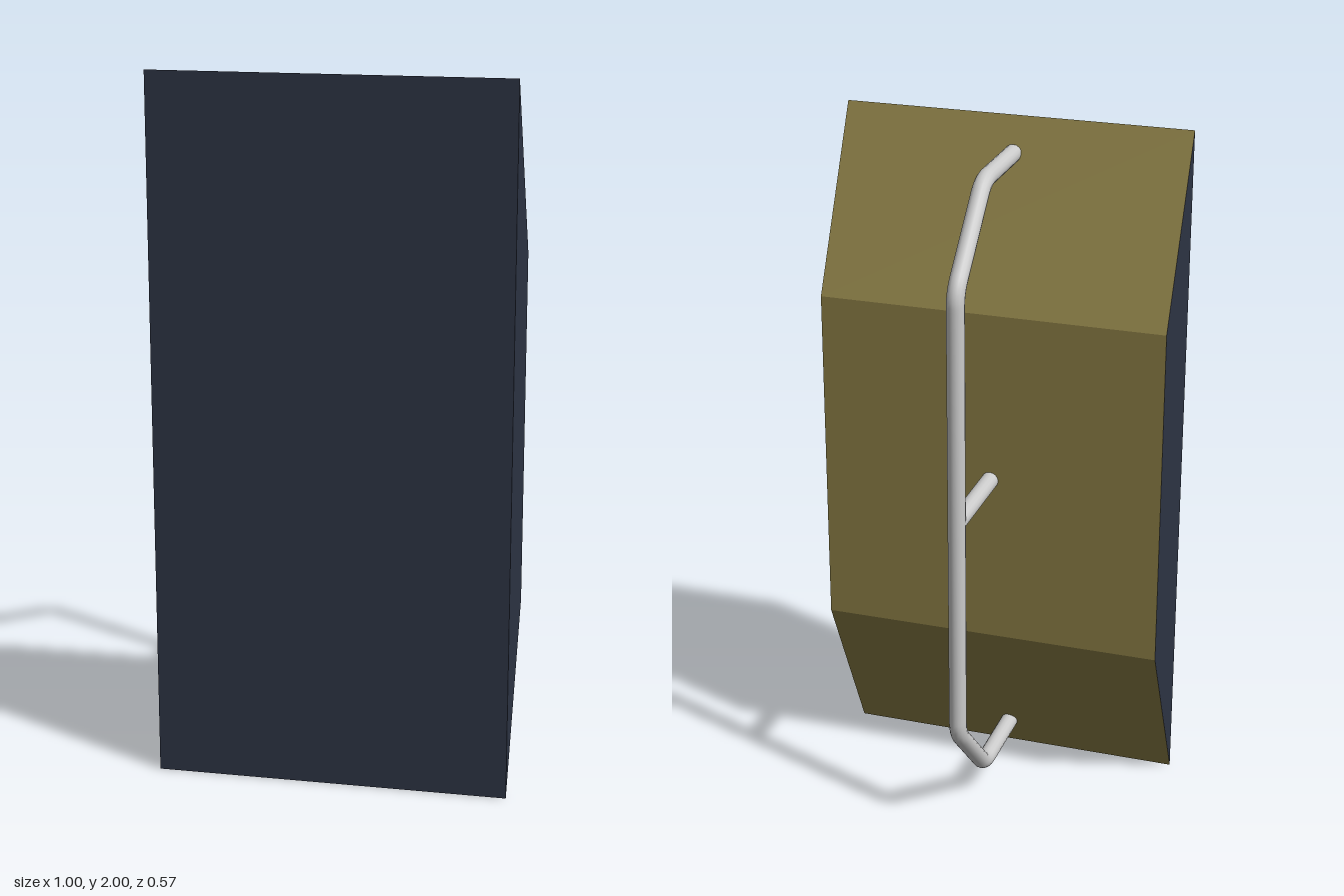
import * as THREE from 'three';

const FRONT = 0.285, BACK = 0.035;   // z of the panel's front and back faces
const BAR_Z = -0.26, BAR_R = 0.025;

const navy = new THREE.MeshStandardMaterial({ color: 0x2d3444 });
const olive = new THREE.MeshStandardMaterial({ color: 0x8a7d45 });
const grey = new THREE.MeshStandardMaterial({ color: 0xcccccc });

// Polyline with rounded corners; bend is the length cut from each side of a corner
function roundedPath(points, bend) {
  const path = new THREE.CurvePath();
  let from = points[0];
  for (let i = 1; i < points.length - 1; i++) {
    const corner = points[i];
    const toward = (p) => corner.clone().add(p.clone().sub(corner).setLength(bend));
    const a = toward(points[i - 1]), b = toward(points[i + 1]);
    path.add(new THREE.LineCurve3(from, a));
    path.add(new THREE.QuadraticBezierCurve3(a, corner, b));
    from = b;
  }
  path.add(new THREE.LineCurve3(from, points[points.length - 1]));
  return path;
}

export function createModel() {
  const model = new THREE.Group();
  model.name = 'shield';

  // Panel: a box whose back face is half as tall as its front
  const panelGeometry = new THREE.BoxGeometry(1, 2, FRONT - BACK);
  const pos = panelGeometry.attributes.position;
  for (let i = 0; i < pos.count; i++) {
    if (pos.getZ(i) < 0) pos.setY(i, pos.getY(i) * 0.5);
  }
  panelGeometry.computeVertexNormals();
  // Navy front and ends, olive slopes and back
  const panel = new THREE.Mesh(panelGeometry, [navy, navy, olive, olive, navy, olive]);
  panel.name = 'panel';
  panel.position.set(0, 1, (FRONT + BACK) / 2);
  model.add(panel);

  // Handle bar: bent tube joining the upper and lower slopes
  const upper = [[1.903, 0.243], [1.903, -0.024], [1.667, BAR_Z]];
  const lower = upper.map(([y, z]) => [2 - y, z]).reverse();
  const points = [...upper, ...lower].map(([y, z]) => new THREE.Vector3(0, y, z));
  const bar = new THREE.Mesh(
    new THREE.TubeGeometry(roundedPath(points, 0.04), 200, BAR_R, 16), grey);
  bar.name = 'handleBar';
  model.add(bar);

  // Strut from the middle of the bar to the back of the panel
  const strutLength = BACK + 0.01 - BAR_Z;
  const strut = new THREE.Mesh(
    new THREE.CylinderGeometry(BAR_R, BAR_R, strutLength, 16), grey);
  strut.name = 'handleStrut';
  strut.rotation.x = Math.PI / 2;
  strut.position.set(0, 1, BAR_Z + strutLength / 2);
  model.add(strut);

  return model;
}
